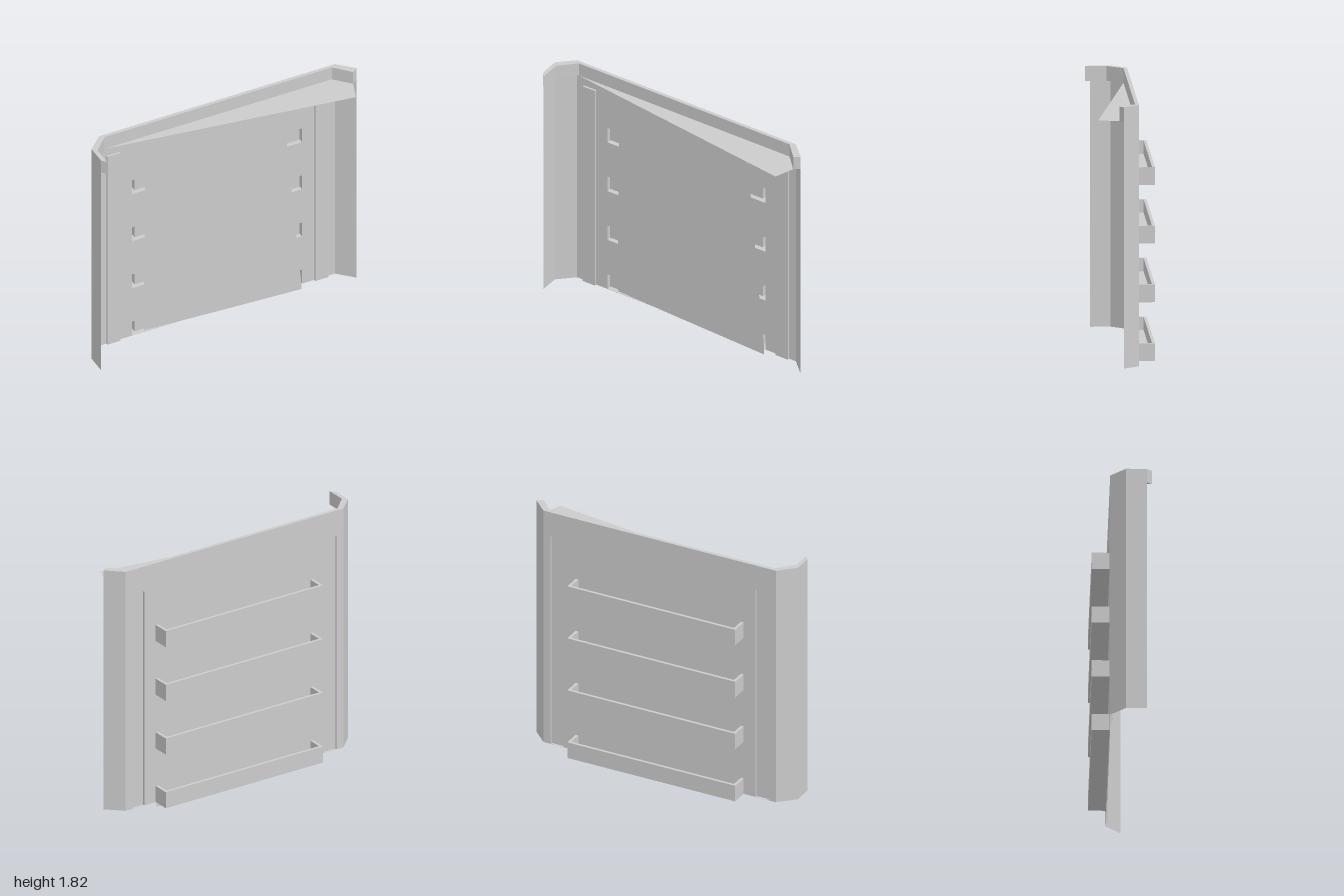
import * as THREE from 'three';

const material = new THREE.MeshStandardMaterial({ color: 0xcccccc, side: THREE.DoubleSide });
const BACK = -0.08, BOTTOM = 0.04, TOP = 1.82;

const vectors = (points) => points.map(([x, y]) => new THREE.Vector2(x, y));

function add(group, name, geometry) {
  const mesh = new THREE.Mesh(geometry, material);
  mesh.name = name;
  group.add(mesh);
  return mesh;
}

// Upright sheet following a path of [x, z] points; its front is on the right of the path.
function wall(path, y0, y1) {
  const p = [];
  for (let i = 0; i + 1 < path.length; i++) {
    const [ax, az] = path[i], [bx, bz] = path[i + 1];
    p.push(ax, y0, az, bx, y1, bz, bx, y0, bz, ax, y0, az, ax, y1, az, bx, y1, bz);
  }
  const g = new THREE.BufferGeometry();
  g.setAttribute('position', new THREE.Float32BufferAttribute(p, 3));
  g.computeVertexNormals();
  return g;
}

// Level sheet from an outline of [x, z] points.
function level(outline, y, up = true) {
  const s = up ? -1 : 1;
  const shape = new THREE.Shape(vectors(outline.map(([x, z]) => [x, s * z])));
  return new THREE.ShapeGeometry(shape).rotateX(s * Math.PI / 2).translate(0, y, 0);
}

const rect = (x0, y0, x1, y1) => [[x0, y0], [x1, y0], [x1, y1], [x0, y1]];

export function createModel() {
  const model = new THREE.Group();
  const shelfHeights = [0, 1, 2, 3].map((i) => BOTTOM + 0.4 * i);
  const ribs = [[-0.835, -0.735], [0.735, 0.835]];

  // Back panel, open at the ribs, trays and vents
  const panel = new THREE.Shape(vectors(rect(-0.89, BOTTOM, 0.89, TOP)));
  const cut = (points) => panel.holes.push(new THREE.Path(vectors(points)));
  for (const [x0, x1] of ribs) cut(rect(x0, BOTTOM + 0.002, x1, 1.635));
  for (const y of shelfHeights) {
    const b = y + 0.002, f = y + 0.03, t = y + 0.12;
    cut([[-0.643, b], [0.643, b], [0.643, t], [0.623, t], [0.623, f],
      [-0.623, f], [-0.623, t], [-0.643, t]]);
    for (const x of [-0.3, 0.3]) cut(rect(x - 0.2, y + 0.15, x + 0.2, y + 0.28));
  }
  add(model, 'backPanel', new THREE.ShapeGeometry(panel).translate(0, 0, BACK));

  // Angled sides; only one carries a forward flange
  add(model, 'rightSide', wall([[-1, 0.165], [-1, 0.025], [-0.89, BACK]], BOTTOM, TOP));
  add(model, 'leftSide', wall([[0.89, BACK], [1, 0.025]], BOTTOM, TOP));

  // Raised vertical ribs, hollow behind
  for (const [x0, x1] of ribs) {
    const z = BACK + 0.015;
    const path = [[x1, BACK], [x1, z], [x0, z], [x0, BACK]];
    const rib = new THREE.Group();
    rib.name = 'rib';
    add(rib, 'ribFace', wall(path, BOTTOM, 1.635));
    add(rib, 'ribTop', level(path, 1.635));
    model.add(rib);
  }

  // Top rim with thickness
  const outer = [[-1, 0.165], [-1, 0.025], [-0.89, BACK], [0.89, BACK], [1, 0.025]];
  const inner = [[0.96, 0.055], [0.855, -0.055], [-0.86, -0.055], [-0.97, 0.055], [-0.97, 0.2]];
  const ring = [...outer, ...inner];
  const rim = new THREE.Group();
  rim.name = 'topRim';
  add(rim, 'rimInside', wall([outer[4], ...inner, outer[0]], 1.72, TOP));
  add(rim, 'rimTop', level(ring, TOP));
  add(rim, 'rimUnderside', level(ring, 1.72, false));
  add(rim, 'rimGusset', level([[-0.86, -0.055], [0.91, 0.195], [0.96, 0.055], [0.855, -0.055]], 1.72));
  model.add(rim);

  // Rear trays with hollow walls
  const trayPath = (x, z) => [[-x, BACK], [-x, z], [x, z], [x, BACK]];
  const outside = trayPath(0.643, -0.2), inside = trayPath(0.623, -0.18).reverse();
  for (const y of shelfHeights) {
    const tray = new THREE.Group();
    tray.name = 'tray';
    add(tray, 'trayOutside', wall(outside, y, y + 0.12));
    add(tray, 'trayInside', wall(inside, y + 0.03, y + 0.12));
    add(tray, 'trayLip', level([...outside, ...inside], y + 0.12));
    add(tray, 'trayFloor', level(inside, y + 0.03));
    add(tray, 'trayBase', level(outside, y, false));
    model.add(tray);
  }

  // Slanted cover plate over the middle of the front
  const plate = new THREE.Shape(vectors([[-0.555, 0.06], [-0.1, 0.035], [0.635, 0],
    [0.632, 0.08], [0.6, 0.41], [0.525, 1.27], [0.497, 1.56], [-0.545, 1.545]]));
  add(model, 'coverPlate', new THREE.ShapeGeometry(plate).translate(0, 0, BACK + 0.005));

  return model;
}
